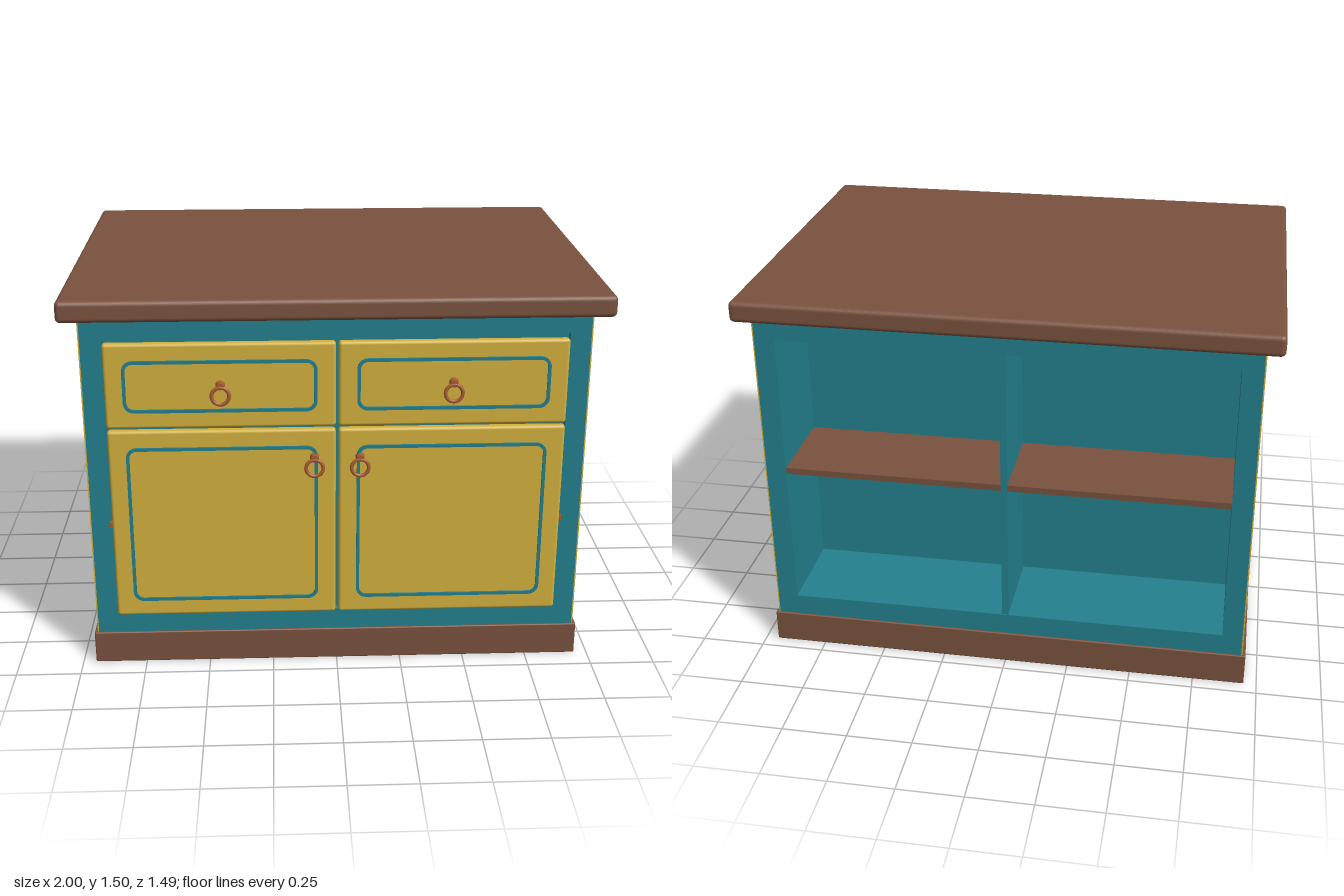
import * as THREE from 'three';
import { RoundedBoxGeometry } from 'three/addons/geometries/RoundedBoxGeometry.js';

const material = (name, color) => {
  const m = new THREE.MeshStandardMaterial({ color });
  m.name = name;
  return m;
};

// Rounded rectangle outline from its edges
function roundedRect(target, x0, x1, y0, y1, r) {
  target.moveTo(x0 + r, y0);
  target.lineTo(x1 - r, y0);
  target.absarc(x1 - r, y0 + r, r, -Math.PI / 2, 0, false);
  target.lineTo(x1, y1 - r);
  target.absarc(x1 - r, y1 - r, r, 0, Math.PI / 2, false);
  target.lineTo(x0 + r, y1);
  target.absarc(x0 + r, y1 - r, r, Math.PI / 2, Math.PI, false);
  target.lineTo(x0, y0 + r);
  target.absarc(x0 + r, y0 + r, r, Math.PI, Math.PI * 1.5, false);
  return target;
}

function rect(target, x0, x1, y0, y1) {
  target.moveTo(x0, y0);
  target.lineTo(x1, y0);
  target.lineTo(x1, y1);
  target.lineTo(x0, y1);
  target.closePath();
  return target;
}

export function createModel() {
  const model = new THREE.Group();
  model.name = 'cabinet';
  const wood = material('brown wood', 0x7a523e);
  const teal = material('teal paint', 0x23808e);
  const yellow = material('yellow paint', 0xd2b03e);
  const copper = material('copper', 0xa85c32);

  const add = (name, geometry, mat, parent = model) => {
    const mesh = new THREE.Mesh(geometry, mat);
    mesh.name = name;
    parent.add(mesh);
    return mesh;
  };

  // Box given by its edges, optionally rounded
  const box = (name, mat, x0, x1, y0, y1, z0, z1, radius = 0, parent = model) => {
    const size = [x1 - x0, y1 - y0, z1 - z0];
    const geometry = radius
      ? new RoundedBoxGeometry(...size, 3, radius)
      : new THREE.BoxGeometry(...size);
    const mesh = add(name, geometry, mat, parent);
    mesh.position.set((x0 + x1) / 2, (y0 + y1) / 2, (z0 + z1) / 2);
    return mesh;
  };

  // Worktop and plinth
  box('worktop', wood, -1, 1, 1.42, 1.5, -0.747, 0.747, 0.018);
  box('plinth', wood, -0.95, 0.95, 0, 0.13, -0.698, 0.663, 0.005);

  // Carcass: a frame running from front to back
  const outline = rect(new THREE.Shape(), -0.933, 0.933, 0.128, 1.422);
  outline.holes.push(rect(new THREE.Path(), -0.855, 0.855, 0.215, 1.338));
  const carcass = add('carcass',
    new THREE.ExtrudeGeometry(outline, { depth: 1.345, bevelEnabled: false }), teal);
  carcass.position.z = -0.69;

  // Inner core: recess behind the doors, back wall of the open shelves
  box('core', teal, -0.856, 0.856, 0.214, 1.339, -0.33, 0.63);
  box('shelfDivider', teal, -0.013, 0.013, 0.214, 1.339, -0.685, -0.32);

  // One half of the furniture, mirrored by s
  for (const s of [1, -1]) {
    const side = s > 0 ? 'left' : 'right';
    const span = (a, b) => (s > 0 ? [a, b] : [-b, -a]);

    box(side + 'SidePanel', yellow, ...span(0.932, 0.938), 0.13, 1.413, -0.689, 0.654);
    box(side + 'Shelf', wood, ...span(0.012, 0.856), 0.775, 0.8, -0.686, -0.32);
    box(side + 'Hinge', copper, ...span(0.848, 0.862), 0.585, 0.61, 0.64, 0.667);

    // Raised fronts with a thin moulding and a ring pull
    const fronts = [
      { name: 'Drawer', y0: 0.998, y1: 1.325, m0: 1.062, m1: 1.262, px: 0.427, py: 1.13 },
      { name: 'Door', y0: 0.222, y1: 0.988, m0: 0.288, m1: 0.923, px: 0.085, py: 0.84 },
    ];
    for (const f of fronts) {
      const front = new THREE.Group();
      front.name = side + f.name;
      model.add(front);
      box('panel', yellow, ...span(0.005, 0.85), f.y0, f.y1, 0.658, 0.693, 0.012, front);

      const [a, b] = span(0.073, 0.783);
      const w = 0.012;
      const line = roundedRect(new THREE.Shape(), a, b, f.m0, f.m1, 0.04);
      line.holes.push(roundedRect(new THREE.Path(), a + w, b - w, f.m0 + w, f.m1 - w, 0.028));
      const moulding = add('moulding', new THREE.ExtrudeGeometry(line,
        { depth: 0.009, bevelEnabled: false, curveSegments: 6 }), teal, front);
      moulding.position.z = 0.6915;

      const stud = add('pullStud', new THREE.CylinderGeometry(0.014, 0.018, 0.026, 16), copper, front);
      stud.rotation.x = Math.PI / 2;
      stud.position.set(s * f.px, f.py + 0.037, 0.703);
      const ring = add('pullRing', new THREE.TorusGeometry(0.032, 0.007, 8, 28), copper, front);
      ring.rotation.x = -0.06;
      ring.position.set(s * f.px, f.py, 0.713);
    }
  }
  return model;
}
